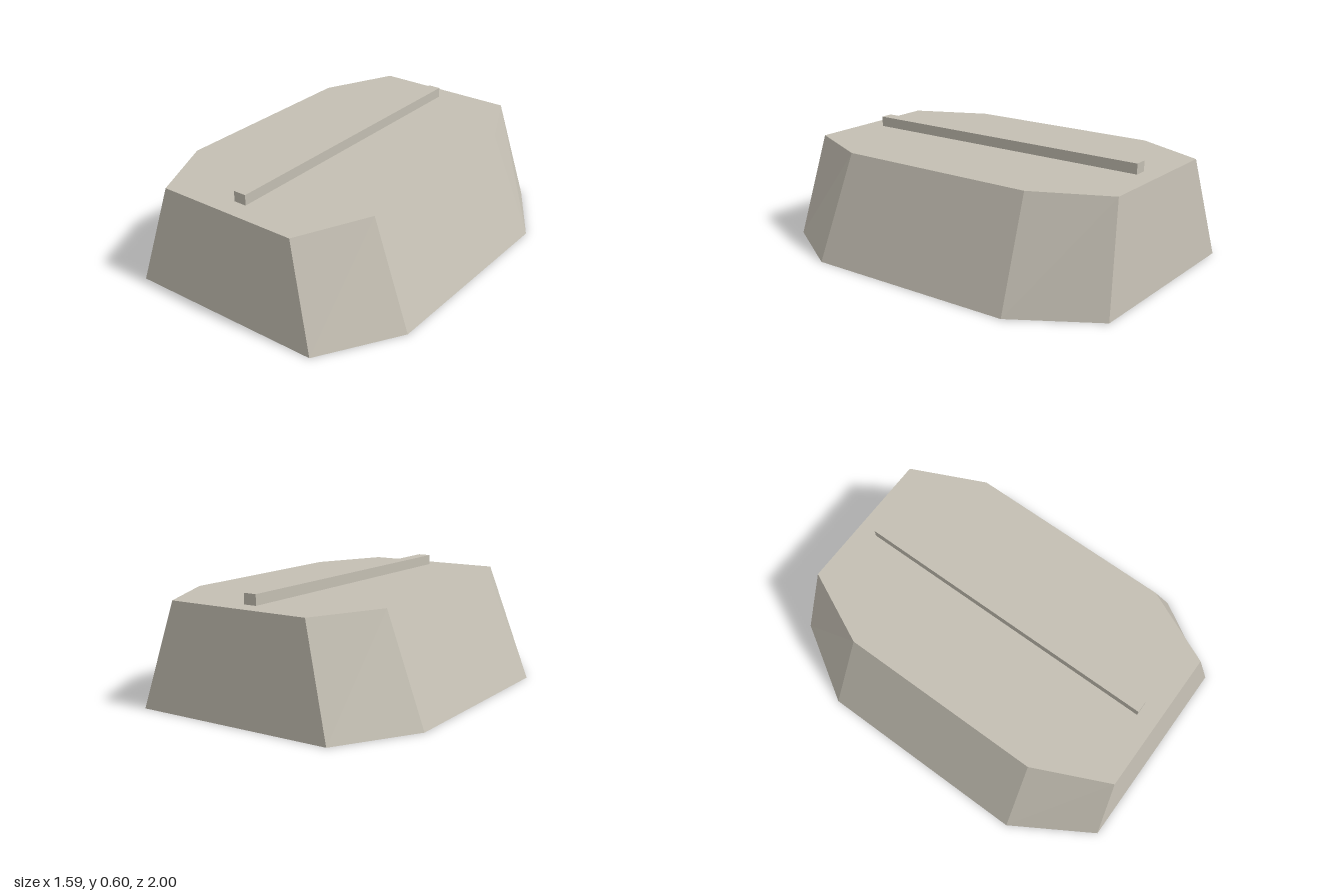
import * as THREE from 'three';

// Eight-cornered outline, counter-clockwise seen from above
function octagon(endX, endZ, sideX, sideZ, y) {
  return [
    [endX, endZ], [sideX, sideZ], [sideX, -sideZ], [endX, -endZ],
    [-endX, -endZ], [-sideX, -sideZ], [-sideX, sideZ], [-endX, endZ],
  ].map(([x, z]) => [x, y, z]);
}

// Closed solid between two outlines, with flat faces
function taperedBlock(bottom, top) {
  const positions = [];
  const n = bottom.length;
  const tri = (a, b, c) => positions.push(...a, ...b, ...c);
  for (let i = 0; i < n; i++) {
    const j = (i + 1) % n;
    tri(bottom[i], bottom[j], top[j]);
    tri(bottom[i], top[j], top[i]);
    if (i > 0 && i < n - 1) {
      tri(top[0], top[i], top[j]);
      tri(bottom[0], bottom[j], bottom[i]);
    }
  }
  const geometry = new THREE.BufferGeometry();
  geometry.setAttribute('position', new THREE.Float32BufferAttribute(positions, 3));
  geometry.computeVertexNormals();
  return geometry;
}

export function createModel() {
  const group = new THREE.Group();
  group.name = 'taperedBlockWithRidge';

  const stone = new THREE.MeshStandardMaterial({ color: 0xc4bfb3 });
  stone.name = 'warm grey';

  // Main body, narrowing towards the top
  const height = 0.545;
  const body = new THREE.Mesh(
    taperedBlock(
      octagon(0.54, 1, 0.793, 0.583, 0),
      octagon(0.39, 0.94, 0.57, 0.55, height),
    ),
    stone,
  );
  body.name = 'body';
  group.add(body);

  // Narrow ridge along the middle of the top
  const ridgeHeight = 0.055;
  const ridge = new THREE.Mesh(new THREE.BoxGeometry(0.07, ridgeHeight, 1.67), stone);
  ridge.name = 'topRidge';
  ridge.position.y = height + ridgeHeight / 2;
  group.add(ridge);

  return group;
}
